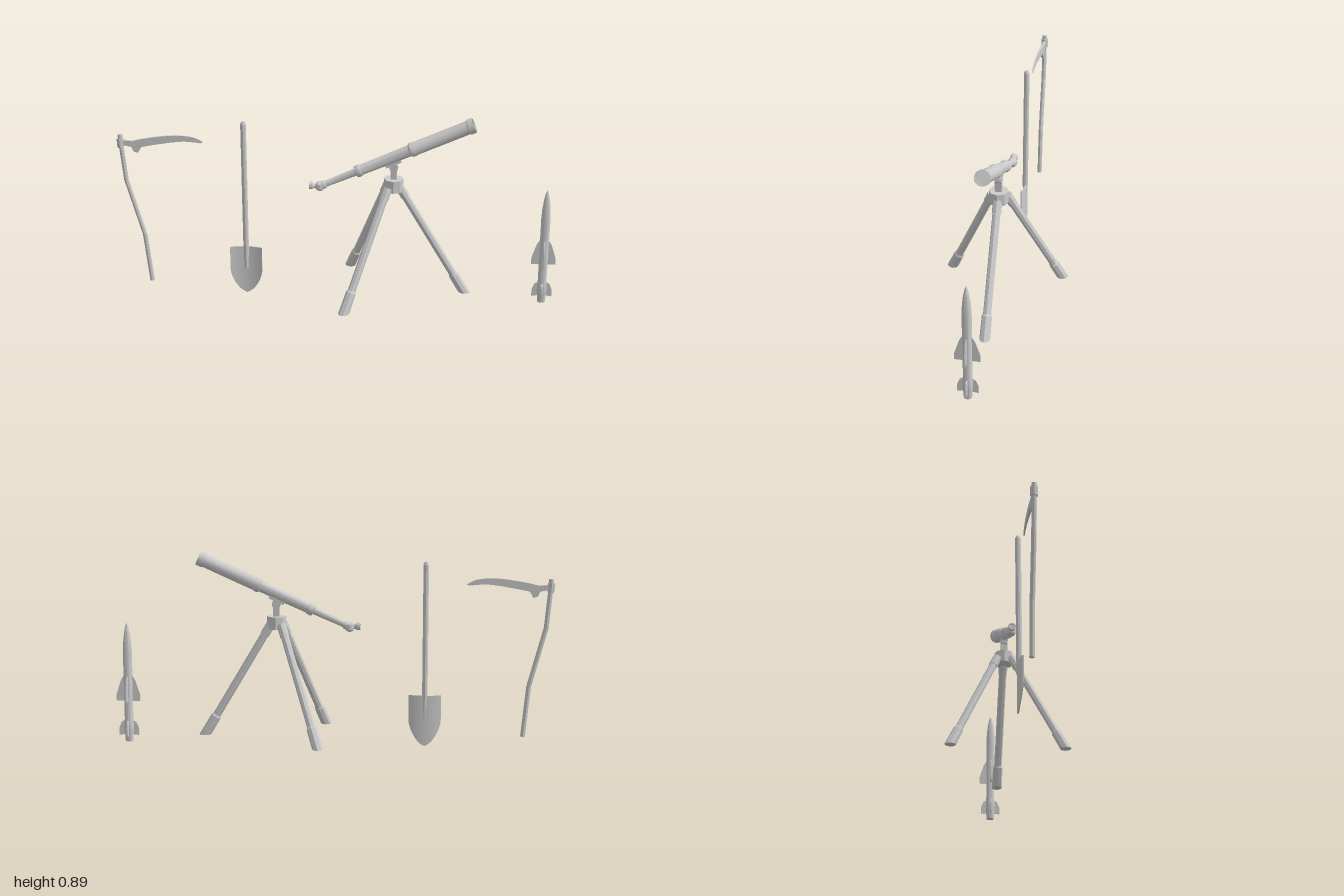
import * as THREE from 'three';
import { toCreasedNormals } from 'three/addons/utils/BufferGeometryUtils.js';

const material = new THREE.MeshStandardMaterial({ color: 0xcccccc });
const V = (x, y, z = 0) => new THREE.Vector3(x, y, z);
const UP = V(0, 1, 0);

function part(name, geometry, crease = 0.6) {
  const mesh = new THREE.Mesh(toCreasedNormals(geometry, crease), material);
  mesh.name = name;
  return mesh;
}

// Turned part: [radius, distance] pairs measured along the axis from a start point.
function turned(name, profile, start, direction, sides = 16) {
  const geo = new THREE.LatheGeometry(profile.map(([r, y]) => new THREE.Vector2(r, y)), sides);
  const mesh = part(name, geo);
  mesh.position.copy(start);
  mesh.quaternion.setFromUnitVectors(UP, direction.clone().normalize());
  return mesh;
}

// Round bar between two points, optionally cut off level at the lower end.
function bar(name, a, b, ra, rb = ra, sides = 8, level = false) {
  const d = b.clone().sub(a), n = d.clone().normalize();
  const geo = new THREE.CylinderGeometry(rb, ra, d.length(), sides);
  geo.applyQuaternion(new THREE.Quaternion().setFromUnitVectors(UP, n));
  const mid = a.clone().add(b).multiplyScalar(0.5);
  geo.translate(mid.x, mid.y, mid.z);
  if (level) {
    const p = geo.attributes.position, v = V(0, 0, 0);
    for (let i = 0; i < p.count; i++) {
      v.fromBufferAttribute(p, i);
      if (v.clone().sub(a).dot(n) < 0.001) {
        v.addScaledVector(n, (a.y - v.y) / n.y);
        p.setXYZ(i, v.x, v.y, v.z);
      }
    }
  }
  return part(name, geo);
}

function plate(name, points, depth) {
  const shape = new THREE.Shape(points.map(([x, y]) => new THREE.Vector2(x, y)));
  const geo = new THREE.ExtrudeGeometry(shape, { depth, bevelEnabled: false });
  return part(name, geo.translate(0, 0, -depth / 2));
}

function group(name, ...children) {
  const g = new THREE.Group();
  g.name = name;
  return g.add(...children);
}

function createScythe() {
  const g = group('scythe');
  // Bent handle, with a small ball at every bend
  const path = [V(-0.985, 0.775), V(-0.982, 0.72), V(-0.967, 0.555), V(-0.895, 0.285), V(-0.872, 0.05)];
  for (let i = 1; i < path.length; i++) {
    g.add(bar('handle', path[i], path[i - 1], 0.011));
    if (i < path.length - 1) {
      const joint = part('handleBend', new THREE.SphereGeometry(0.011, 8, 6), 1);
      joint.position.copy(path[i]);
      g.add(joint);
    }
  }
  g.add(bar('collar', V(-0.984, 0.715), V(-0.986, 0.757), 0.016));

  // Curved blade with a tooth at its heel, thinning towards the tip
  const s = new THREE.Shape();
  s.moveTo(-0.985, 0.75);
  s.lineTo(-0.93, 0.745);
  s.splineThru([[-0.88, 0.757], [-0.8, 0.77], [-0.72, 0.776], [-0.65, 0.768], [-0.607, 0.747]]
    .map(p => new THREE.Vector2(...p)));
  s.lineTo(-0.62, 0.742);
  s.splineThru([[-0.7, 0.748], [-0.8, 0.735], [-0.89, 0.718]].map(p => new THREE.Vector2(...p)));
  s.lineTo(-0.905, 0.69);
  s.lineTo(-0.925, 0.695);
  s.lineTo(-0.935, 0.718);
  s.lineTo(-0.985, 0.728);
  const geo = new THREE.ExtrudeGeometry(s, { depth: 1, bevelEnabled: false, curveSegments: 6 });
  const p = geo.attributes.position;
  for (let i = 0; i < p.count; i++) {
    const t = (p.getX(i) + 0.985) / 0.378;
    p.setZ(i, (p.getZ(i) - 0.5) * (0.014 - 0.009 * t));
  }
  g.add(part('blade', geo));
  return g;
}

function createShovel() {
  const cx = -0.425;
  const g = group('shovel',
    bar('handle', V(cx, 0.24, -0.001), V(cx, 0.835, -0.005), 0.013, 0.013, 10),
    bar('socket', V(cx, 0.125, -0.001), V(cx, 0.24, -0.001), 0.009, 0.013, 10),
    bar('handleTip', V(cx, 0.835, -0.005), V(cx, 0.848, -0.005), 0.013, 0.008, 10));

  // Dished blade, straight-sided above and rounded below
  const geo = new THREE.BoxGeometry(2, 1, 0.006, 10, 20, 1);
  const p = geo.attributes.position;
  for (let i = 0; i < p.count; i++) {
    const u = p.getX(i), y = 0.235 * (1 - (0.5 - p.getY(i)) ** 0.8);
    const s = Math.min(1, Math.max(0, (0.12 - y) / 0.12));
    const x = u * 0.074 * Math.max(0.03, (1 - s ** 1.6) ** 0.65);
    p.setXYZ(i, cx + x, y, p.getZ(i) - 0.006 + 0.013 * (x / 0.074) ** 2);
  }
  g.add(part('blade', geo));
  return g;
}

function createTelescope() {
  const start = V(-0.07, 0.553), axis = V(0.67, 0.302).normalize();
  const at = t => start.clone().addScaledVector(axis, t);

  // Stepped tube with a recessed lens at the wide end
  const g = group('telescope', turned('tube', [
    [0, -0.01], [0.019, -0.01], [0.019, 0.012], [0.014, 0.02], [0.017, 0.165],
    [0.026, 0.168], [0.028, 0.175], [0.028, 0.19], [0.024, 0.196], [0.026, 0.43],
    [0.033, 0.438], [0.033, 0.455], [0.031, 0.46], [0.031, 0.712],
    [0.035, 0.716], [0.035, 0.742], [0.029, 0.742], [0.029, 0.732], [0, 0.732],
  ], start, axis));

  // Angled eyepiece
  const knob = part('eyepieceElbow', new THREE.SphereGeometry(0.023, 12, 8), 1);
  knob.position.copy(at(-0.012));
  g.add(knob, turned('eyepiece',
    [[0, 0], [0.011, 0], [0.011, 0.022], [0.018, 0.032], [0.018, 0.046], [0.012, 0.046], [0.012, 0.04], [0, 0.04]],
    V(-0.083, 0.549), V(-1, 0.06), 12));

  // Head: neck, pivot and saddle under the tube
  const pivot = part('pivot', new THREE.CylinderGeometry(0.02, 0.02, 0.03, 12).rotateX(Math.PI / 2));
  pivot.position.set(0.253, 0.65, 0);
  const saddle = part('saddle', new THREE.BoxGeometry(0.075, 0.028, 0.03));
  saddle.position.set(0.248, 0.675, 0);
  saddle.rotation.z = Math.atan2(axis.y, axis.x);
  const neck = part('neck', new THREE.BoxGeometry(0.028, 0.07, 0.03));
  neck.position.set(0.253, 0.618, 0);
  g.add(pivot, saddle, neck);
  return g;
}

function createTripod() {
  const g = group('tripod', bar('hub', V(0.253, 0.537), V(0.253, 0.594), 0.044, 0.044, 8));
  const legs = [
    [V(0.277, 0.56, 0), V(0.588, 0.037, 0)],
    [V(0.228, 0.56, 0.033), V(0.045, 0.037, 0.26)],
    [V(0.228, 0.56, -0.033), V(0.045, 0.037, -0.26)],
  ];
  for (const [top, foot] of legs) {
    const on = t => foot.clone().lerp(top, t);
    g.add(group('leg',
      bar('legTube', on(0.1), top, 0.018),
      bar('legKnuckle', on(0.9), top, 0.021),
      bar('footSleeve', foot, on(0.165), 0.024, 0.023, 8, true),
      bar('footCollar', on(0.165), on(0.18), 0.023, 0.018)));
  }
  return g;
}

function createRocket() {
  const g = group('rocket', turned('body', [
    [0, 0], [0.018, 0], [0.02, 0.03], [0.023, 0.055], [0.023, 0.08], [0.02, 0.105], [0.021, 0.42],
    [0.019, 0.46], [0.014, 0.505], [0.007, 0.54], [0, 0.557],
  ], V(0, 0, 0), UP, 16));
  // Four upper and four lower fins
  for (let i = 0; i < 4; i++) {
    const wing = plate('upperFin', [[0.015, 0.19], [0.055, 0.19], [0.055, 0.22], [0.034, 0.285], [0.015, 0.318]], 0.006);
    const fin = plate('lowerFin', [[0.015, 0.032], [0.046, 0.027], [0.046, 0.06], [0.034, 0.09], [0.015, 0.1]], 0.006);
    wing.rotation.y = fin.rotation.y = i * Math.PI / 2;
    g.add(wing, fin);
  }
  g.position.x = 0.945;
  return g;
}

export function createModel() {
  return group('toolSet', createScythe(), createShovel(), createTelescope(), createTripod(), createRocket());
}
